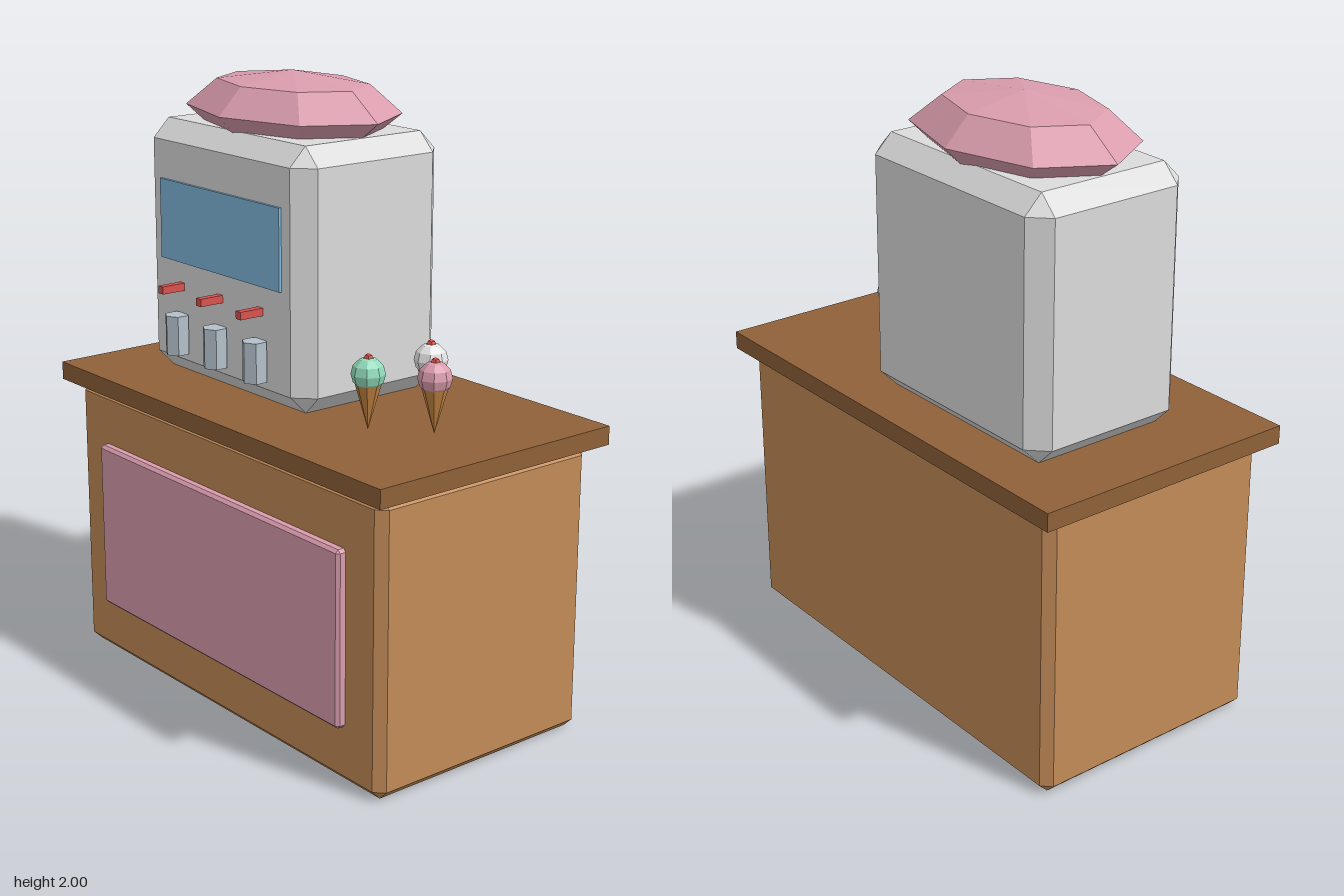
import * as THREE from 'three';
import { ConvexGeometry } from 'three/addons/geometries/ConvexGeometry.js';

function mat(name, color) {
  const m = new THREE.MeshStandardMaterial({ color, flatShading: true });
  m.name = name;
  return m;
}

// Box with 45 degree chamfers on every edge, given by its limits
function chamferBox(x0, x1, y0, y1, z0, z1, c) {
  const h = [(x1 - x0) / 2, (y1 - y0) / 2, (z1 - z0) / 2];
  const points = [];
  for (const sx of [-1, 1]) for (const sy of [-1, 1]) for (const sz of [-1, 1]) {
    for (let full = 0; full < 3; full++) {
      const [x, y, z] = h.map((v, i) => (i === full ? v : v - c));
      points.push(new THREE.Vector3(sx * x, sy * y, sz * z));
    }
  }
  return new ConvexGeometry(points).translate((x0 + x1) / 2, (y0 + y1) / 2, (z0 + z1) / 2);
}

export function createModel() {
  const model = new THREE.Group();
  model.name = 'iceCreamStand';

  const wood = mat('wood', 0xc28b57);
  const darkWood = mat('darkWood', 0x8f6139);
  const pink = mat('pink', 0xdb9dae);
  const silver = mat('silver', 0xdcdcdc);
  const glass = mat('glass', 0x82bbe0);
  const red = mat('red', 0xd9534f);
  const steel = mat('steel', 0xb4c0ca);
  const mint = mat('mint', 0x93dcbc);
  const cream = mat('cream', 0xe6e6e6);
  const waffle = mat('waffle', 0xc68642);

  const add = (parent, name, geometry, material, x = 0, y = 0, z = 0) => {
    const mesh = new THREE.Mesh(geometry, material);
    mesh.name = name;
    mesh.position.set(x, y, z);
    parent.add(mesh);
    return mesh;
  };

  // Counter
  add(model, 'counterBody', chamferBox(-0.78, 0.78, 0, 0.94, -0.415, 0.415, 0.03), wood);
  add(model, 'counterTop', new THREE.BoxGeometry(1.645, 0.06, 0.912), darkWood, 0, 0.97, 0);
  add(model, 'frontPanel', chamferBox(-0.625, 0.625, 0.19, 0.755, 0.4, 0.445, 0.01), pink);

  // Machine
  const machine = new THREE.Group();
  machine.name = 'machine';
  machine.position.x = -0.21;
  model.add(machine);
  add(machine, 'machineBody', chamferBox(-0.415, 0.415, 1, 1.83, -0.337, 0.238, 0.06), silver);
  add(machine, 'window', new THREE.BoxGeometry(0.625, 0.26, 0.009), glass, 0, 1.515, 0.2425);
  const dome = add(machine, 'dome', new THREE.SphereGeometry(1, 8, 4), pink, 0, 1.878, -0.053);
  dome.scale.set(0.415, 0.122, 0.289);

  // Dispensers: a lever above each nozzle
  for (const x of [-0.208, 0, 0.208]) {
    add(machine, 'lever', new THREE.BoxGeometry(0.025, 0.025, 0.085), red, x, 1.305, 0.2825);
    add(machine, 'nozzle', new THREE.CylinderGeometry(0.041, 0.041, 0.13, 6), steel, x, 1.15, 0.264);
  }

  // Ice cream cones
  const cones = [[0.413, 0.155, mint], [0.57, 0.03, pink], [0.413, -0.095, cream]];
  for (const [x, z, flavour] of cones) {
    const cone = new THREE.Group();
    cone.name = 'iceCream';
    cone.position.set(x, 1, z);
    model.add(cone);
    add(cone, 'waffleCone', new THREE.ConeGeometry(0.047, 0.165, 8).rotateX(Math.PI), waffle, 0, 0.0925, 0);
    add(cone, 'scoop', new THREE.SphereGeometry(0.053, 8, 6), flavour, 0, 0.183, 0);
    add(cone, 'cherry', new THREE.SphereGeometry(0.016, 5, 4), red, 0, 0.23, 0);
  }
  return model;
}
